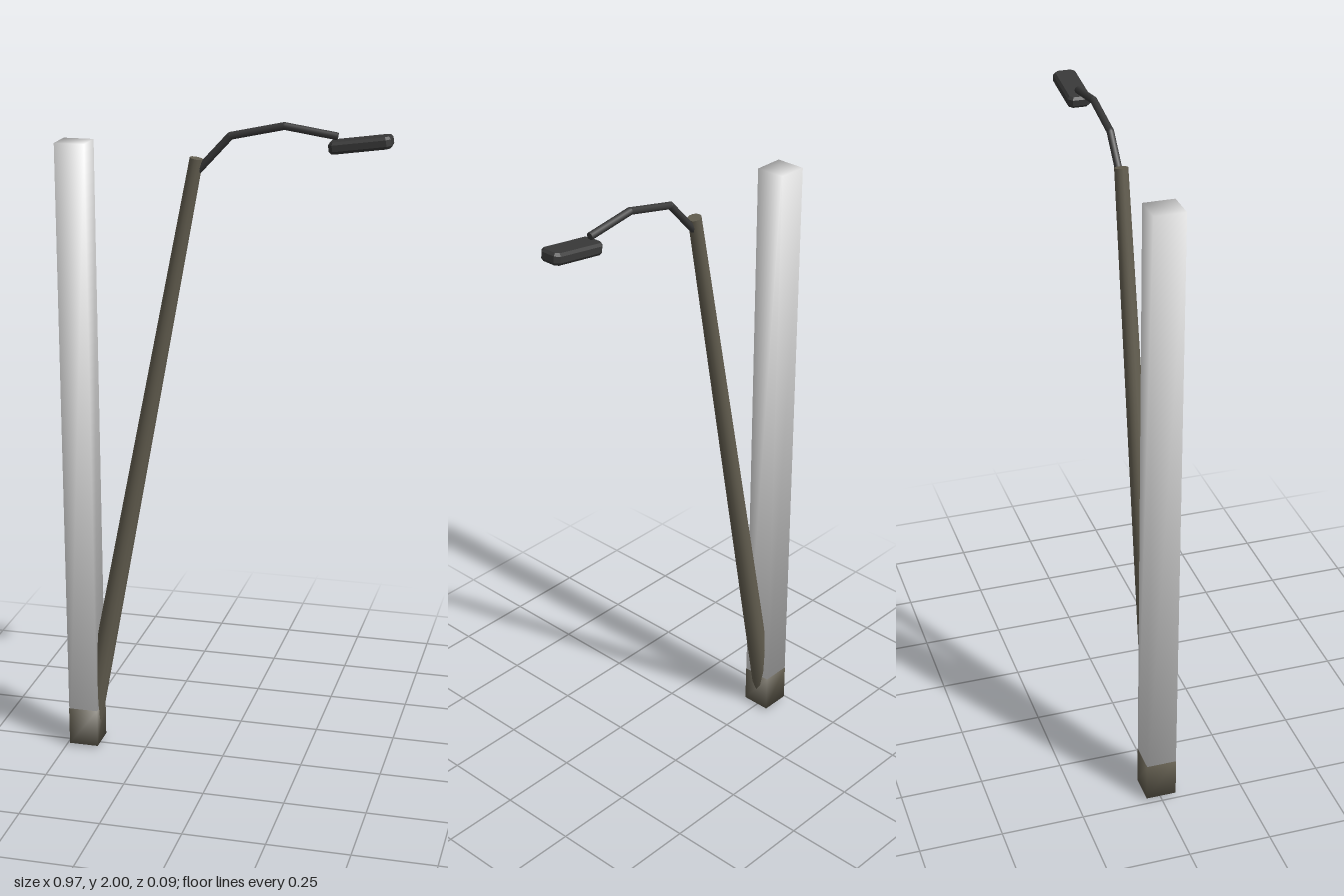
import * as THREE from 'three';

const olive = new THREE.MeshStandardMaterial({ color: 0x625d4f });
olive.name = 'weathered olive';
const charcoal = new THREE.MeshStandardMaterial({ color: 0x383838 });
charcoal.name = 'charcoal';
const paleGrey = new THREE.MeshStandardMaterial({ color: 0xe0e0e0 });
paleGrey.name = 'pale grey';

const UP = new THREE.Vector3(0, 1, 0);

function addMesh(group, name, geometry, material) {
  const mesh = new THREE.Mesh(geometry, material);
  mesh.name = name;
  group.add(mesh);
  return mesh;
}

// Tapered rod between two points in the plane z = 0
function rod(a, b, rA, rB, sides) {
  const from = new THREE.Vector3(a[0], a[1], 0);
  const dir = new THREE.Vector3(b[0], b[1], 0).sub(from);
  const geometry = new THREE.CylinderGeometry(rB, rA, dir.length(), sides);
  geometry.translate(0, dir.length() / 2, 0);
  geometry.applyQuaternion(new THREE.Quaternion().setFromUnitVectors(UP, dir.normalize()));
  return geometry.translate(from.x, from.y, 0);
}

// Box whose corner normals point diagonally outwards, for soft shading
function softBox(w, h, d) {
  const geometry = new THREE.BoxGeometry(w, h, d);
  const p = geometry.attributes.position;
  const s = 1 / Math.sqrt(3);
  for (let i = 0; i < p.count; i++) {
    geometry.attributes.normal.setXYZ(i,
      Math.sign(p.getX(i)) * s, Math.sign(p.getY(i)) * s, Math.sign(p.getZ(i)) * s);
  }
  return geometry;
}

// Octagonal slab with bevelled rims, lying flat
function lampHousing(length, height, width, cut) {
  const x = length / 2 - 0.006, z = width / 2 - 0.006;
  const shape = new THREE.Shape([
    [-x + cut, -z], [x - cut, -z], [x, -z + cut], [x, z - cut],
    [x - cut, z], [-x + cut, z], [-x, z - cut], [-x, -z + cut],
  ].map(([u, v]) => new THREE.Vector2(u, v)));
  const geometry = new THREE.ExtrudeGeometry(shape, {
    depth: height - 0.016, bevelEnabled: true, bevelThickness: 0.008, bevelSize: 0.006, bevelSegments: 1,
  });
  return geometry.center().rotateX(-Math.PI / 2);
}

export function createModel() {
  const model = new THREE.Group();
  model.name = 'leaningStreetLamp';

  // Upright post and the footing at its bottom
  addMesh(model, 'uprightPost', softBox(0.091, 1.91, 0.091), paleGrey).position.set(-0.442, 0.965, 0);
  addMesh(model, 'footing', softBox(0.092, 0.121, 0.092), olive).position.set(-0.442, 0.07, 0);

  // Leaning tapered pole
  addMesh(model, 'leaningPole', rod([-0.442, 0.007], [-0.077, 1.886], 0.034, 0.02, 12), olive);

  // Bent lamp arm, one rod per stretch with a joint at each bend
  const arm = new THREE.Group();
  arm.name = 'lampArm';
  model.add(arm);
  const bends = [[-0.085, 1.838], [0.022, 1.954], [0.178, 1.988], [0.33, 1.965]];
  for (let i = 0; i < bends.length - 1; i++) {
    addMesh(arm, 'armSegment' + (i + 1), rod(bends[i], bends[i + 1], 0.011, 0.011, 8), charcoal);
    if (i > 0) {
      addMesh(arm, 'armJoint' + i, new THREE.SphereGeometry(0.011, 8, 6), charcoal)
        .position.set(bends[i][0], bends[i][1], 0);
    }
  }

  // Lamp head tilted up at its tip
  const head = addMesh(model, 'lampHead', lampHousing(0.178, 0.034, 0.07, 0.009), charcoal);
  head.position.set(0.396, 1.946, 0);
  head.rotation.z = 0.14;

  return model;
}
